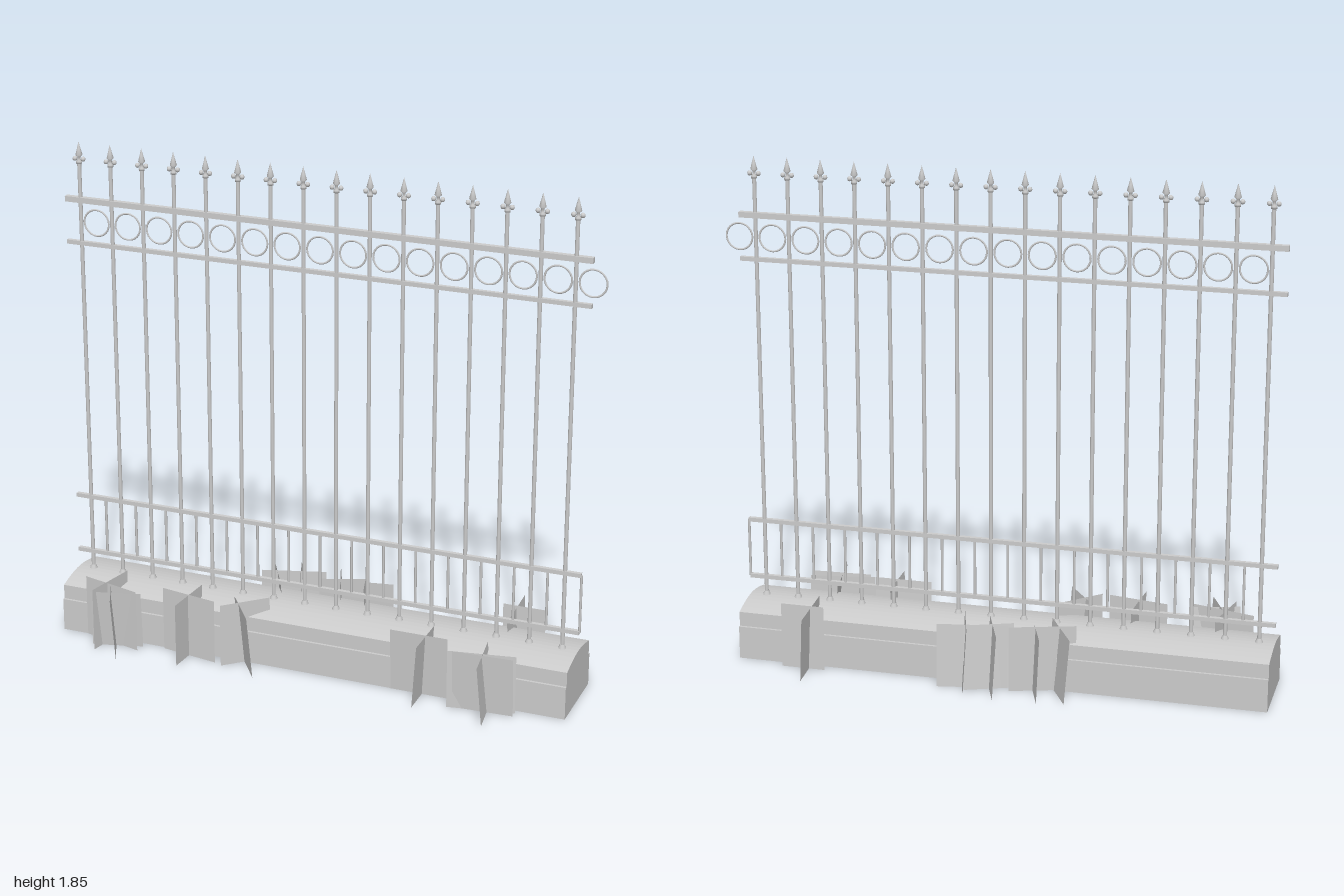
import * as THREE from 'three';

const iron = new THREE.MeshStandardMaterial({ color: 0xcccccc });
iron.name = 'plain grey';
const sheet = new THREE.MeshStandardMaterial({ color: 0xcccccc, side: THREE.DoubleSide });
sheet.name = 'plain grey sheet';

const FZ = -0.008;            // fence plane
const STEP = 0.1219;          // post spacing
const COUNT = 16;
const X0 = -1, X1 = 0.945;

export function createModel() {
  const model = new THREE.Group();
  const add = (parent, name, geo, x = 0, y = 0, z = 0, mat = iron) => {
    const m = new THREE.Mesh(geo, mat);
    m.name = name;
    m.position.set(x, y, z);
    parent.add(m);
    return m;
  };
  const mid = (X0 + X1) / 2, len = X1 - X0;

  // Stone footing and the domed coping on top of it
  add(model, 'wallBase', new THREE.BoxGeometry(len, 0.123, 0.292), mid, 0.0615, FZ);
  const cap = new THREE.Shape();
  cap.moveTo(-0.136, 0.12);
  cap.lineTo(0.136, 0.12);
  cap.lineTo(0.136, 0.177);
  cap.quadraticCurveTo(0.06, 0.2, 0, 0.2);
  cap.quadraticCurveTo(-0.06, 0.2, -0.136, 0.177);
  cap.closePath();
  const capGeo = new THREE.ExtrudeGeometry(cap, { depth: len, bevelEnabled: false, curveSegments: 5 });
  capGeo.rotateY(Math.PI / 2);
  add(model, 'wallCoping', capGeo, X0, 0, FZ);

  // Horizontal rails: [height, thickness]
  for (const [y, t] of [[1.635, 0.02], [1.475, 0.015], [0.49, 0.015], [0.27, 0.015]]) {
    add(model, 'rail', new THREE.BoxGeometry(len, t, t), mid, y, FZ);
  }

  // Posts with a foot collar and a spear finial
  const postGeo = new THREE.CylinderGeometry(0.0075, 0.0075, 1.58, 8);
  const footGeo = new THREE.CylinderGeometry(0.009, 0.016, 0.018, 8);
  const spearGeo = new THREE.LatheGeometry([
    [0, 1.765], [0.011, 1.768], [0.011, 1.776], [0.006, 1.782], [0.006, 1.793],
    [0.013, 1.8], [0.007, 1.822], [0, 1.848],
  ].map(([r, y]) => new THREE.Vector2(r, y)), 8);
  const knobGeo = new THREE.SphereGeometry(0.009, 8, 6);
  const picketGeo = new THREE.CylinderGeometry(0.005, 0.005, 0.22, 6);
  const ringGeo = new THREE.TorusGeometry(0.048, 0.0035, 6, 24);
  for (let i = 0; i < COUNT; i++) {
    const x = -0.943 + i * STEP;
    const post = new THREE.Group();
    post.name = 'post';
    post.position.set(x, 0, FZ);
    model.add(post);
    add(post, 'shaft', postGeo, 0, 0.98, 0);
    add(post, 'foot', footGeo, 0, 0.205, 0);
    add(post, 'spear', spearGeo);
    for (const s of [-1, 1]) add(post, 'knob', knobGeo, s * 0.016, 1.785, 0);
    // Short picket and ring fill the gap to the next post
    add(model, 'shortPicket', picketGeo, x + STEP / 2 - 0.001, 0.38, FZ);
    add(model, 'ring', ringGeo, x + STEP / 2, 1.555, FZ);
  }

  // Crossed plant cards: [x1, z1, x2, z2, top height, lean across the card]
  const cards = [
    [-0.90, 0.14, -0.67, 0.20, 0.235, 0],
    [-0.84, 0.225, -0.66, 0.175, 0.225, 0.025],
    [-0.82, 0.25, -0.775, 0.05, 0.24, 0],
    [-0.80, 0.12, -0.72, 0.295, 0.23, 0.015],
    [-0.585, 0.147, -0.365, 0.185, 0.245, 0],
    [-0.485, 0.26, -0.468, 0.06, 0.24, 0],
    [-0.335, 0.20, -0.195, 0.07, 0.24, 0],
    [-0.315, 0.09, -0.20, 0.25, 0.235, 0.02],
    [0.30, 0.147, 0.515, 0.147, 0.24, 0.015],
    [0.425, 0.25, 0.425, 0.06, 0.235, 0.015],
    [0.53, 0.20, 0.77, 0.16, 0.22, 0],
    [0.55, 0.20, 0.77, 0.19, 0.225, 0.015],
    [0.65, 0.08, 0.68, 0.295, 0.22, 0.02],
    [-0.305, -0.26, -0.20, -0.07, 0.24, 0.02],
    [-0.31, -0.13, -0.08, -0.20, 0.245, 0],
    [-0.205, -0.28, -0.155, -0.14, 0.24, 0.01],
    [-0.09, -0.155, 0.08, -0.22, 0.24, 0.02],
    [-0.05, -0.29, 0.02, -0.10, 0.24, 0.015],
    [-0.07, -0.17, 0.18, -0.215, 0.235, 0.015],
    [0.06, -0.28, 0.115, -0.09, 0.25, 0.015],
    [0.61, -0.185, 0.77, -0.185, 0.245, 0],
    [0.66, -0.30, 0.67, -0.06, 0.235, 0.01],
  ];
  for (const [x1, z1, x2, z2, h, lean] of cards) {
    const w = Math.hypot(x2 - x1, z2 - z1);
    const geo = new THREE.PlaneGeometry(w, h);
    const p = geo.attributes.position;
    for (let i = 0; i < p.count; i++) p.setZ(i, (p.getY(i) / h) * lean);
    geo.computeVertexNormals();
    const m = add(model, 'plantCard', geo, (x1 + x2) / 2, h / 2, (z1 + z2) / 2, sheet);
    m.rotation.y = -Math.atan2(z2 - z1, x2 - x1);
  }
  return model;
}
